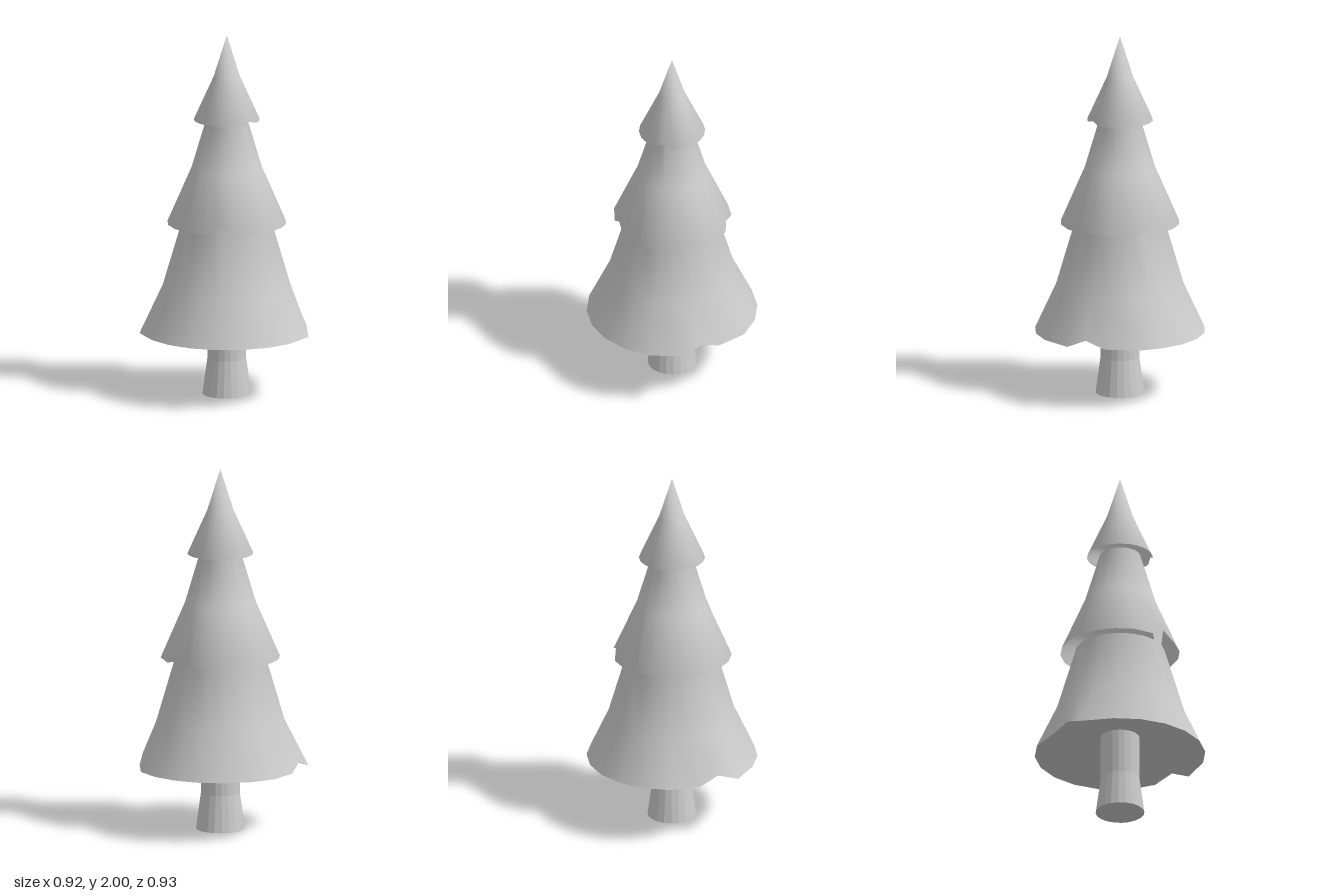
import * as THREE from 'three';
import { mergeVertices } from 'three/addons/utils/BufferGeometryUtils.js';

const SIDES = 20;
const STEP = (Math.PI * 2) / SIDES;

// Notches in a rim: [side index (0 = +z, 5 = +x), radius, height, turn in degrees]
const skirtNotches = [
  [4, 0.47, 0.35, 5.7], [5, 0.437, 0.39, 0], [6, 0.439, 0.35, -3.5],
  [14, 0.446, 0.35, 3.6], [15, 0.44, 0.39, 0], [16, 0.479, 0.35, -4],
];
const middleNotches = [
  [19, 0.315, 0.955, 3], [0, 0.308, 1.0, 0], [1, 0.325, 0.955, -3],
  [7, 0.326, 0.955, 6], [8, 0.305, 0.985, 0],
];
const topNotches = [[2, 0.18, 1.53, 4], [3, 0.168, 1.545, -4]];

// Revolve a bottom-to-top profile, then move the notched rim vertices.
// notches maps a profile row to its list of notches.
function revolve(profile, notches = {}) {
  const geo = new THREE.LatheGeometry(profile.map(([r, y]) => new THREE.Vector2(r, y)), SIDES);
  const pos = geo.attributes.position;
  const rows = profile.length;
  for (const [row, list] of Object.entries(notches)) {
    for (const [side, r, y, turn] of list) {
      const a = side * STEP + THREE.MathUtils.degToRad(turn);
      const columns = side === 0 ? [0, SIDES] : [side];
      for (const c of columns) pos.setXYZ(c * rows + Number(row), r * Math.sin(a), y, r * Math.cos(a));
    }
  }
  geo.deleteAttribute('uv');
  geo.deleteAttribute('normal');
  const merged = mergeVertices(geo, 1e-5);
  merged.computeVertexNormals();
  return merged;
}

export function createModel() {
  const tree = new THREE.Group();
  tree.name = 'firTree';
  const smooth = new THREE.MeshStandardMaterial({ color: 0xcccccc, side: THREE.DoubleSide });
  const faceted = new THREE.MeshStandardMaterial({ color: 0xcccccc, flatShading: true });
  const add = (name, geo, mat) => {
    const mesh = new THREE.Mesh(geo, mat);
    mesh.name = name;
    tree.add(mesh);
  };

  // Trunk with a flared, closed foot
  add('trunk', revolve([[0, 0], [0.133, 0], [0.106, 0.2], [0.106, 0.46]]), faceted);

  // Three tiers of branches in one soft surface
  add('branches', revolve([
    [0.465, 0.35], [0.35, 0.6], [0.243, 0.965],
    [0.325, 0.955], [0.193, 1.26], [0.11, 1.54],
    [0.18, 1.53], [0.072, 1.77], [0, 2],
  ], { 0: skirtNotches, 3: middleNotches, 6: topNotches }), smooth);

  // Hollowed underside of the lowest tier
  add('underside', revolve([[0.1, 0.45], [0.465, 0.35]], { 1: skirtNotches }), smooth);

  return tree;
}
